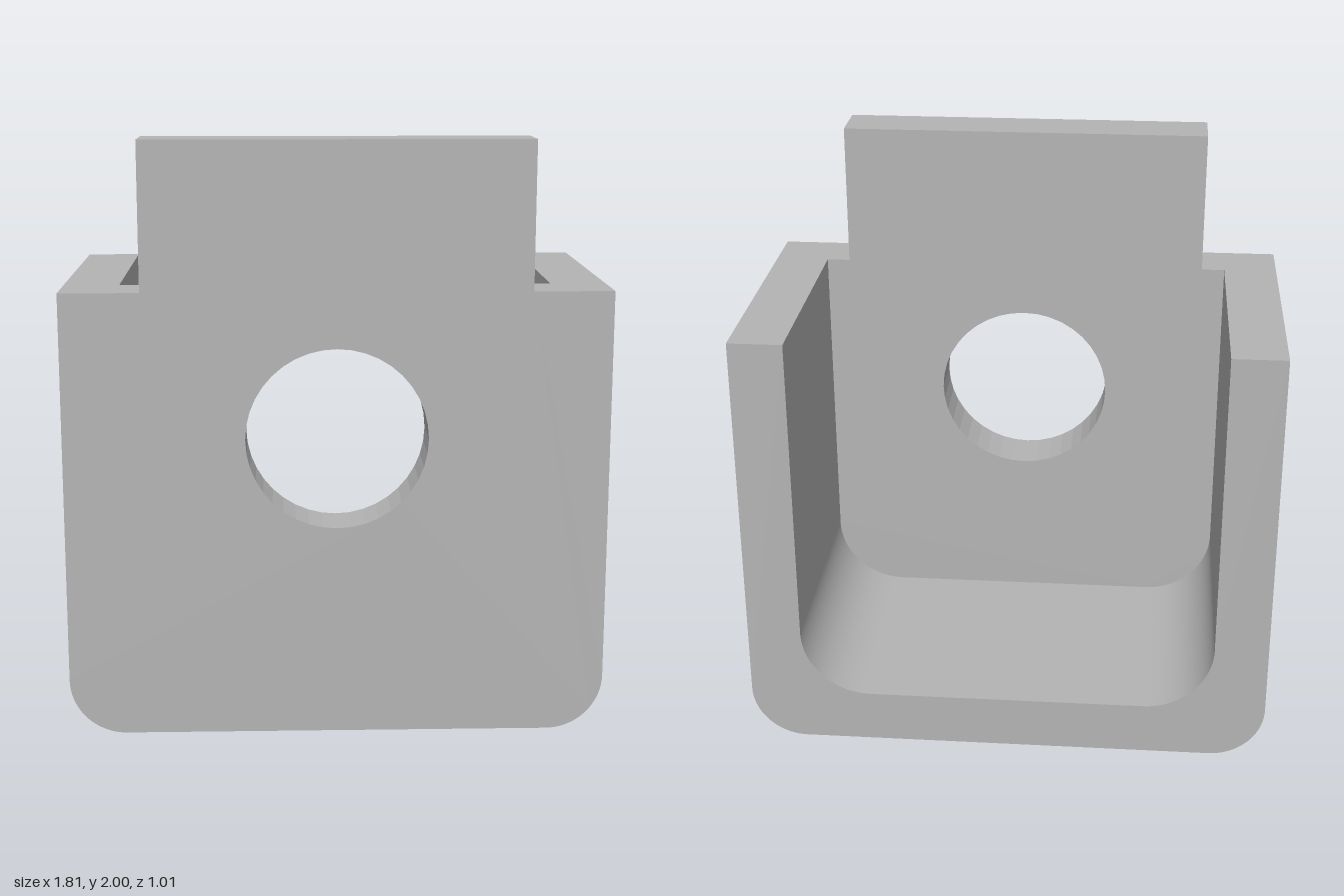
import * as THREE from 'three';

const W = 0.905, D = 0.505;       // half width, half depth
const T = 0.185;                  // wall thickness
const WALL = 1.51, TOP = 2, TAB = 0.64;
const R_OUT = 0.19, R_IN = 0.24;
const INNER = W - T, PLATE_Z = D - T;

// Trace a wall top to wall top, round the two bottom corners
function traceU(path, w, floor, r) {
  path.moveTo(-w, WALL);
  path.lineTo(-w, floor + r);
  path.absarc(-w + r, floor + r, r, Math.PI, 1.5 * Math.PI, false);
  path.lineTo(w - r, floor);
  path.absarc(w - r, floor + r, r, 1.5 * Math.PI, 2 * Math.PI, false);
  path.lineTo(w, WALL);
  return path;
}

// Rounded plate outline with the raised tab and round hole
function plateShape(w, floor, r) {
  const s = traceU(new THREE.Shape(), w, floor, r);
  s.lineTo(TAB, WALL);
  s.lineTo(TAB, TOP);
  s.lineTo(-TAB, TOP);
  s.lineTo(-TAB, WALL);
  s.closePath();
  s.holes.push(new THREE.Path().absarc(0, 1.02, 0.303, 0, 2 * Math.PI, true));
  return s;
}

// Extrude between two depths, leaving out the cap at z = openZ where parts join
function extrudeOpen(shape, z0, z1, openZ) {
  const geo = new THREE.ExtrudeGeometry(shape, { depth: z1 - z0, bevelEnabled: false, curveSegments: 20 });
  geo.translate(0, 0, z0);
  const p = geo.attributes.position, kept = [];
  for (let i = 0; i < p.count; i += 3) {
    const onCap = [0, 1, 2].every((k) => Math.abs(p.getZ(i + k) - openZ) < 1e-4);
    if (onCap) continue;
    for (let k = 0; k < 3; k++) kept.push(p.getX(i + k), p.getY(i + k), p.getZ(i + k));
  }
  const out = new THREE.BufferGeometry();
  out.setAttribute('position', new THREE.Float32BufferAttribute(kept, 3));
  out.computeVertexNormals();
  return out;
}

export function createModel() {
  const group = new THREE.Group();
  const grey = new THREE.MeshStandardMaterial({ color: 0xb4b4b4 });
  grey.name = 'grey';
  const add = (name, geo) => {
    const mesh = new THREE.Mesh(geo, grey);
    mesh.name = name;
    group.add(mesh);
  };

  // Front plate with tab and hole
  add('frontPlate', extrudeOpen(plateShape(W, 0, R_OUT), PLATE_Z, D, PLATE_Z));

  // Inner face of the front plate, seen through the open back
  const inner = new THREE.ShapeGeometry(plateShape(INNER, T, R_IN), 20);
  inner.rotateY(Math.PI);
  inner.translate(0, 0, PLATE_Z);
  add('frontPlateInnerFace', inner);

  // U-shaped channel: two side walls and a floor
  const channel = traceU(new THREE.Shape(), W, 0, R_OUT);
  const cavity = traceU(new THREE.Path(), INNER, T, R_IN).getPoints(20).reverse();
  cavity.forEach((pt) => channel.lineTo(pt.x, pt.y));
  channel.closePath();
  add('channel', extrudeOpen(channel, -D, PLATE_Z, PLATE_Z));

  // Ledges beside the tab come from the plate; the model is centred and stands on y = 0
  return group;
}
